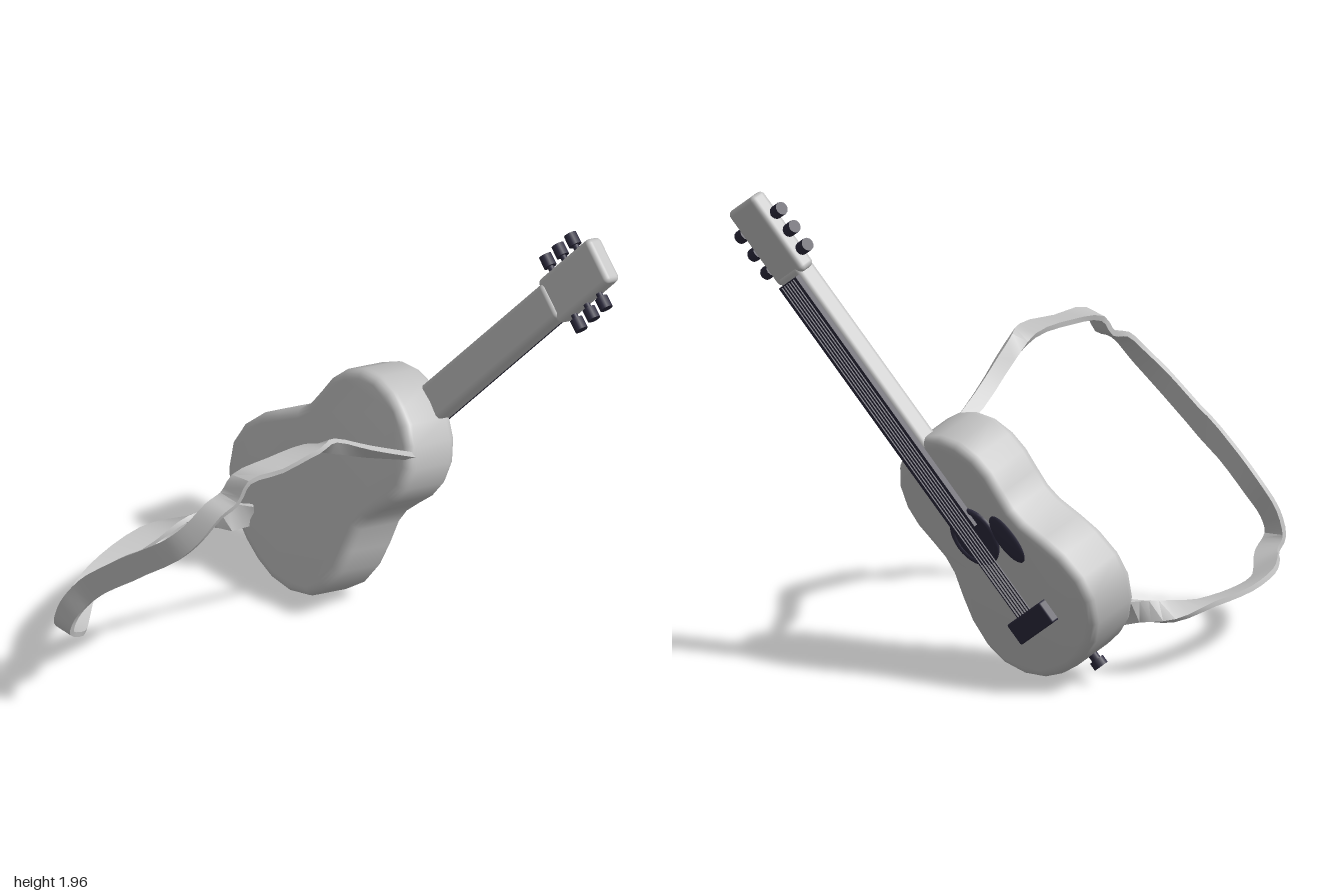
import * as THREE from 'three';
import { toCreasedNormals } from 'three/addons/utils/BufferGeometryUtils.js';
import { RoundedBoxGeometry } from 'three/addons/geometries/RoundedBoxGeometry.js';

const paleGrey = new THREE.MeshStandardMaterial({ color: 0xc2c2c2 });
const darkTrim = new THREE.MeshStandardMaterial({ color: 0x2d2b3e });

function add(parent, name, geometry, material, x = 0, y = 0, z = 0) {
  const mesh = new THREE.Mesh(geometry, material);
  mesh.name = name;
  mesh.position.set(x, y, z);
  parent.add(mesh);
  return mesh;
}

// Body: mirrored outline [half width, distance from tail], rounded at both rims
function bodyGeometry() {
  const half = [[0, 0], [0.1, 0.008], [0.2, 0.035], [0.29, 0.09], [0.365, 0.18], [0.39, 0.28], [0.375, 0.4],
    [0.335, 0.5], [0.287, 0.6], [0.274, 0.67], [0.283, 0.75], [0.296, 0.84], [0.285, 0.93], [0.24, 1.02],
    [0.165, 1.085], [0.08, 1.118], [0, 1.125]];
  const left = half.slice(1, -1).reverse().map(([x, y]) => [-x, y]);
  const points = [...half, ...left].map(([x, y]) => new THREE.Vector2(x, y));
  const geometry = new THREE.ExtrudeGeometry(new THREE.Shape(points), {
    depth: 0.19, bevelThickness: 0.04, bevelSize: 0.04, bevelOffset: -0.04, bevelSegments: 4,
  });
  geometry.translate(0, 0, 0.04);
  return toCreasedNormals(geometry, 0.7);
}

// Strap: flat band swept along a path; each row is a centre and a half-width vector
function strapGeometry() {
  const rows = [
    [0.15, 0.85, -0.47, 0.01, 0.01, 0], [0.165, 1.04, -0.15, 0.022, 0.03, 0],
    [0.2, 1.19, 0.07, 0.018, 0.038, 0], [0.22, 1.25, 0.2, 0.045, 0.012, 0],
    [0.21, 1.255, 0.4, 0.05, 0, 0], [0.185, 1.25, 0.56, 0.05, 0.01, 0],
    [0.17, 1.17, 0.61, 0.05, 0, 0], [0.16, 1.14, 0.69, 0.045, -0.01, 0],
    [0.12, 1.04, 0.77, 0.04, -0.025, 0], [0.05, 0.95, 0.82, 0.035, -0.035, 0],
    [-0.1, 0.82, 0.85, 0.033, -0.038, 0], [-0.25, 0.69, 0.88, 0.033, -0.038, 0],
    [-0.38, 0.56, 0.9, 0.036, -0.035, 0], [-0.44, 0.45, 0.94, 0.045, -0.02, 0],
    [-0.46, 0.36, 0.95, 0.05, -0.005, 0], [-0.48, 0.31, 0.88, 0.045, -0.01, -0.02],
    [-0.56, 0.29, 0.79, 0.035, -0.022, -0.035], [-0.66, 0.29, 0.66, 0.04, -0.02, -0.025],
    [-0.74, 0.29, 0.45, 0.048, -0.012, -0.01], [-0.775, 0.295, 0.2, 0.05, -0.005, 0],
    [-0.755, 0.295, 0.01, 0.035, 0.03, 0.015], [-0.67, 0.3, -0.09, 0, 0.045, 0],
    [-0.59, 0.3, -0.21, 0, 0.045, 0],
  ];
  const curve = (k) => new THREE.CatmullRomCurve3(rows.map((r) => new THREE.Vector3(r[k], r[k + 1], r[k + 2])));
  const path = curve(0), widths = curve(3), steps = 66;
  const positions = [], index = [];
  for (let i = 0; i <= steps; i++) {
    const t = i / steps;
    const p = path.getPoint(t), w = widths.getPoint(t);
    const n = path.getTangent(t).cross(w).setLength(0.011);
    for (const [a, b] of [[1, 1], [-1, 1], [-1, -1], [1, -1]]) {
      const v = p.clone().addScaledVector(w, a).addScaledVector(n, b);
      positions.push(v.x, v.y, v.z);
    }
    if (i === steps) continue;
    for (let j = 0; j < 4; j++) {
      const a = i * 4 + j, b = i * 4 + (j + 1) % 4;
      index.push(a, b, b + 4, a, b + 4, a + 4);
    }
  }
  const e = steps * 4;
  index.push(0, 2, 1, 0, 3, 2, e, e + 1, e + 2, e, e + 2, e + 3);
  const geometry = new THREE.BufferGeometry();
  geometry.setAttribute('position', new THREE.Float32BufferAttribute(positions, 3));
  geometry.setIndex(index);
  return toCreasedNormals(geometry, 0.6);
}

export function createModel() {
  const model = new THREE.Group();
  model.name = 'guitarWithStrap';

  // Guitar frame: y runs along the neck, z points out of the soundboard
  const guitar = new THREE.Group();
  guitar.name = 'guitar';
  const along = new THREE.Vector3(0.579, 0.781, -0.234).normalize();
  const across = along.clone().cross(new THREE.Vector3(0, -0.287, -0.958)).normalize();
  const out = across.clone().cross(along);
  guitar.quaternion.setFromRotationMatrix(new THREE.Matrix4().makeBasis(across, along, out));
  guitar.position.set(-0.603, 0.186, -0.165);
  model.add(guitar);

  add(guitar, 'body', bodyGeometry(), paleGrey);
  add(guitar, 'neck', new RoundedBoxGeometry(0.16, 0.92, 0.095, 3, 0.022), paleGrey, 0, 1.53, 0.228);
  add(guitar, 'headstock', new RoundedBoxGeometry(0.205, 0.37, 0.08, 3, 0.022), paleGrey, 0, 2.14, 0.23);
  add(guitar, 'fretboard', new THREE.BoxGeometry(0.14, 1.25, 0.026), darkTrim, 0, 1.33, 0.282);

  // Sound hole with a raised ring
  const disc = add(guitar, 'soundHole', new THREE.CylinderGeometry(0.115, 0.115, 0.008, 32), darkTrim, 0, 0.67, 0.274);
  disc.rotation.x = Math.PI / 2;
  const ring = add(guitar, 'soundHoleRing', new THREE.TorusGeometry(0.118, 0.014, 8, 32), darkTrim, 0, 0.67, 0.272);
  ring.scale.z = 0.9;

  // Oval guard beside the sound hole
  const guard = add(guitar, 'pickGuard', new THREE.SphereGeometry(1, 24, 12), darkTrim, 0.165, 0.585, 0.268);
  guard.scale.set(0.06, 0.115, 0.022);

  add(guitar, 'bridge', new RoundedBoxGeometry(0.27, 0.1, 0.045, 2, 0.008), darkTrim, 0, 0.25, 0.284);

  // Strings
  for (let i = 0; i < 6; i++) {
    add(guitar, 'string', new THREE.BoxGeometry(0.007, 1.7, 0.006), darkTrim, (i - 2.5) * 0.019, 1.1, 0.298);
  }

  // Tuning pegs, three on each side
  for (const side of [-1, 1]) {
    for (const y of [2.035, 2.125, 2.215]) {
      const stem = add(guitar, 'pegStem', new THREE.CylinderGeometry(0.014, 0.014, 0.05, 10), darkTrim, side * 0.11, y, 0.225);
      const peg = add(guitar, 'tuningPeg', new THREE.CylinderGeometry(0.028, 0.028, 0.052, 12), darkTrim, side * 0.149, y, 0.225);
      stem.rotation.z = peg.rotation.z = Math.PI / 2;
    }
  }

  // Strap button at the tail
  add(guitar, 'strapButton', new THREE.CylinderGeometry(0.02, 0.02, 0.05, 12), darkTrim, 0, -0.01, 0.135);
  add(guitar, 'strapButtonCap', new THREE.CylinderGeometry(0.032, 0.032, 0.035, 12), darkTrim, 0, -0.042, 0.135);

  add(model, 'strap', strapGeometry(), paleGrey);
  return model;
}
